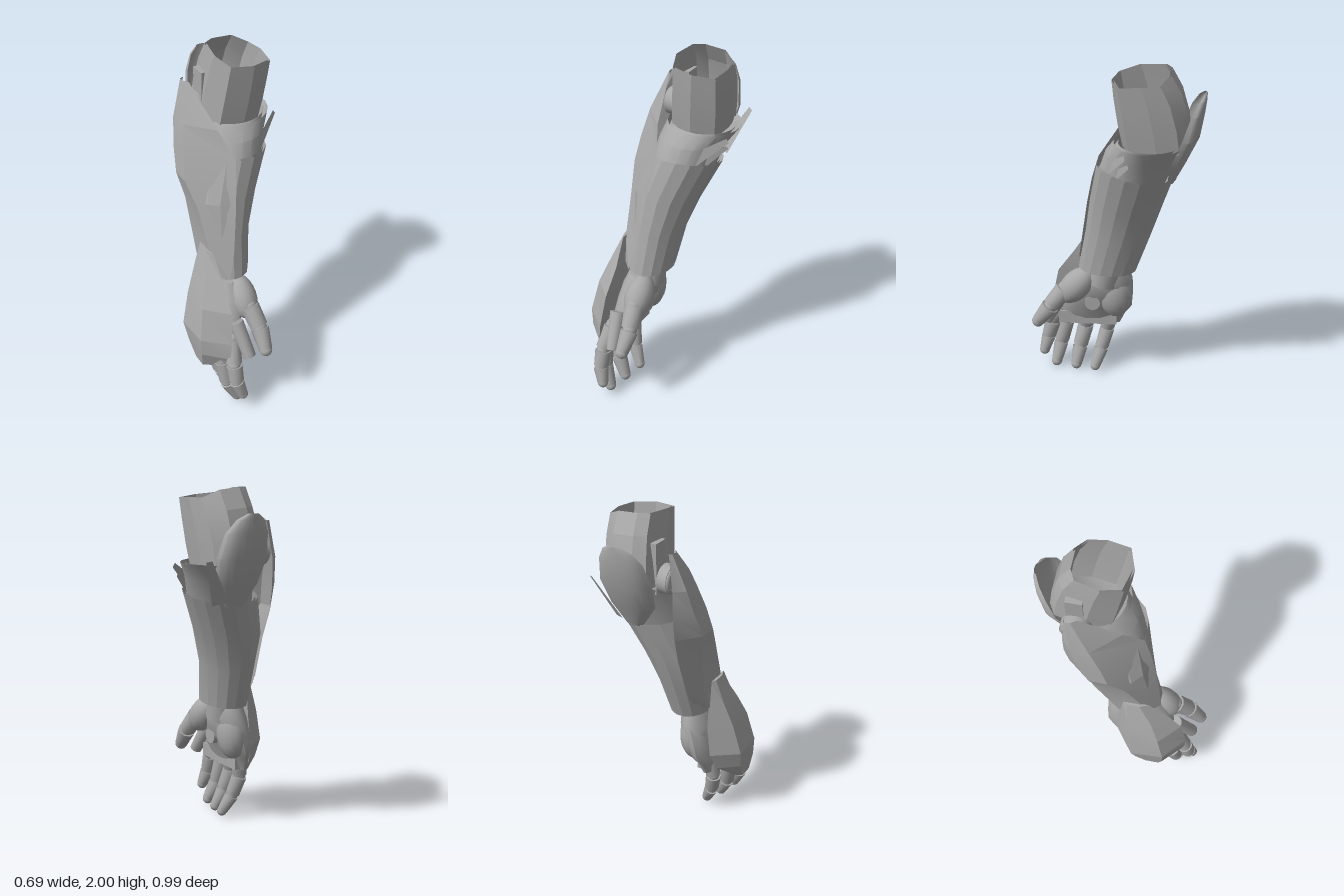
import * as THREE from 'three';
import { toCreasedNormals } from 'three/addons/utils/BufferGeometryUtils.js';

const V = (p) => new THREE.Vector3(...p);

// Surface through rows of [x, y, z] points, listed from top to bottom
function loft(rows, { closed = false, caps = false, crease = 0.45 } = {}) {
  const n = rows[0].length, pos = rows.flat(2), idx = [];
  for (let i = 0; i < rows.length - 1; i++) {
    for (let j = 0; j < (closed ? n : n - 1); j++) {
      const k = (j + 1) % n, a = i * n + j, b = i * n + k, c = a + n, d = b + n;
      idx.push(a, b, c, b, d, c);
    }
  }
  if (caps) {
    const last = (rows.length - 1) * n;
    for (let j = 1; j < n - 1; j++) idx.push(0, j + 1, j, last, last + j, last + j + 1);
  }
  const g = new THREE.BufferGeometry();
  g.setAttribute('position', new THREE.Float32BufferAttribute(pos, 3));
  g.setIndex(idx);
  return toCreasedNormals(g, crease);
}

// Elliptical ring, tilted so that y changes with z
function ring(y, cx, cz, rx, rz, n = 12, tilt = 0) {
  return Array.from({ length: n }, (_, i) => {
    const a = ((i + 0.5) / n) * Math.PI * 2;
    const dz = Math.sin(a) * rz;
    return [cx + Math.cos(a) * rx, y + tilt * dz, cz + dz];
  });
}

// Adds an inner wall to rows of closed rings
function walled(rows, s) {
  const inner = rows.map((r) => {
    const c = [0, 1, 2].map((k) => r.reduce((t, p) => t + p[k], 0) / r.length);
    return r.map((p) => [c[0] + (p[0] - c[0]) * s, p[1], c[2] + (p[2] - c[2]) * s]);
  });
  return [...rows, ...inner.reverse()];
}

export function createModel() {
  const root = new THREE.Group();
  root.name = 'armouredArm';
  const metal = new THREE.MeshStandardMaterial({ color: 0xa8a8a8, side: THREE.DoubleSide });
  metal.name = 'grey metal';

  const add = (name, geo, parent = root) => {
    const m = new THREE.Mesh(geo, metal);
    m.name = name;
    parent.add(m);
    return m;
  };
  // Tapered round piece from a to b
  const limb = (name, a, b, r1, r2, parent = root, sides = 8) => {
    const p = V(a), d = V(b).sub(p);
    const g = toCreasedNormals(new THREE.CylinderGeometry(r2, r1, d.length(), sides), 0.7);
    const m = add(name, g, parent);
    m.position.copy(p).addScaledVector(d, 0.5);
    m.quaternion.setFromUnitVectors(new THREE.Vector3(0, 1, 0), d.normalize());
    return m;
  };
  const ball = (name, c, r, parent = root) => {
    const m = add(name, new THREE.SphereGeometry(1, 16, 12), parent);
    m.position.set(...c);
    m.scale.set(...r);
    return m;
  };

  // Open upper arm sleeve, faceted and widening toward the elbow
  const rim = [[-0.005, 1.99, -0.14], [0.02, 2, -0.28], [0.08, 2, -0.31], [0.2, 1.99, -0.31], [0.28, 1.95, -0.26],
    [0.295, 1.95, -0.16], [0.28, 1.94, -0.04], [0.16, 1.95, 0], [0.035, 1.96, -0.03]];
  const sleeveRow = (drop, x0, x1, z0, z1) => rim.map(([x, y, z]) => [
    x0 + (x / 0.295) * (x1 - x0), y - drop, z0 + ((z + 0.31) / 0.31) * (z1 - z0)]);
  add('upperArmSleeve', loft(walled([rim, sleeveRow(0.1, -0.01, 0.29, -0.365, -0.01),
    sleeveRow(0.24, -0.025, 0.28, -0.405, -0.03), sleeveRow(0.37, -0.035, 0.265, -0.42, -0.055)], 0.93),
  { closed: true, crease: 0.2 }));

  // Elbow cuff and its flared blades
  add('elbowCuff', loft(walled([ring(1.61, 0.14, -0.205, 0.205, 0.195, 20),
    ring(1.52, 0.1, -0.15, 0.185, 0.19, 20, 0.1), ring(1.38, 0.065, -0.1, 0.175, 0.18, 20, 0.2)], 0.88), { closed: true }));
  const blade = (name, a, b, w) => {
    const dir = V(b).sub(V(a));
    const side = dir.clone().cross(new THREE.Vector3(a[0] - 0.1, 0, a[2] + 0.17)).setLength(w);
    const off = (p, s) => V(p).addScaledVector(side, s).toArray();
    add(name, loft([[off(b, 0.35), off(b, -0.35)], [off(a, 1), off(a, -1)]]));
  };
  blade('frontBlade', [0.15, 1.45, 0.04], [0.34, 1.59, -0.08], 0.04);
  blade('lowerBlade', [0.19, 1.42, 0], [0.33, 1.54, -0.1], 0.03);
  blade('rearBlade', [0.2, 1.4, -0.32], [0.32, 1.64, -0.4], 0.045);

  // Elbow guard: an oval shell behind the joint
  add('elbowGuard', loft([[1.88, -0.495, 0.03, -0.48], [1.85, -0.495, 0.08, -0.455], [1.78, -0.487, 0.125, -0.415],
    [1.65, -0.465, 0.15, -0.37], [1.5, -0.395, 0.13, -0.31], [1.38, -0.335, 0.05, -0.3]].map(([y, z, w, edge]) =>
    Array.from({ length: 13 }, (_, i) => {
      const a = (i / 12 - 0.5) * Math.PI;
      return [0.11 + w * Math.sin(a), y, edge + (z - edge) * Math.max(Math.cos(a), 0) ** 0.75];
    })), { crease: 0.6 }));

  // Elbow hinge on the outer side
  limb('hingeDisc', [-0.1, 1.66, -0.26], [-0.045, 1.66, -0.26], 0.08, 0.08, root, 20);
  const hub = add('hingeRing', new THREE.TorusGeometry(0.062, 0.013, 6, 20));
  hub.position.set(-0.1, 1.66, -0.26);
  hub.rotation.y = Math.PI / 2;
  const bar = add('hingeBar', new THREE.BoxGeometry(0.06, 0.28, 0.09));
  bar.position.set(-0.002, 1.72, -0.27);

  // Forearm sleeve
  add('forearmSleeve', loft(walled([ring(1.425, 0.075, -0.12, 0.205, 0.21, 16, 0.18),
    ring(1.2, -0.005, -0.065, 0.185, 0.2, 16, 0.15), ring(1, -0.035, -0.02, 0.145, 0.185, 16, 0.1),
    ring(0.76, -0.052, 0.043, 0.125, 0.168, 16, 0.05)], 0.93), { closed: true, crease: 0.2 }));

  // Long outer forearm plate; each row runs rear to front as x, z pairs
  const plate = (rows) => rows.map(([y, ...p]) => p.map(([x, z]) => [x, y, z]).reverse());
  add('outerForearmPlate', loft(plate([
    [1.82, [-0.1, -0.305], [-0.12, -0.3], [-0.12, -0.27], [-0.1, -0.24]],
    [1.62, [-0.13, -0.32], [-0.185, -0.27], [-0.185, -0.17], [-0.05, -0.02]],
    [1.47, [-0.13, -0.32], [-0.21, -0.23], [-0.21, -0.11], [0, 0.085]],
    [1.33, [-0.13, -0.3], [-0.23, -0.17], [-0.23, -0.07], [-0.02, 0.125]],
    [1.18, [-0.12, -0.25], [-0.2, -0.13], [-0.2, 0.02], [-0.04, 0.155]],
    [0.95, [-0.13, -0.17], [-0.185, -0.08], [-0.185, 0.11], [-0.07, 0.19]],
    [0.79, [-0.13, -0.08], [-0.185, -0.02], [-0.185, 0.13], [-0.11, 0.215]]]), { crease: 0.2 }));

  // Wrist and palm
  limb('wrist', [-0.07, 0.66, 0.07], [-0.055, 0.86, 0.03], 0.1, 0.095, root, 16);
  add('palm', loft([ring(0.74, -0.08, 0.06, 0.08, 0.14, 16), ring(0.67, -0.085, 0.075, 0.1, 0.18, 16),
    ring(0.57, -0.11, 0.095, 0.095, 0.2, 16), ring(0.47, -0.135, 0.115, 0.075, 0.215, 16),
    ring(0.4, -0.155, 0.14, 0.06, 0.2, 16, -0.05), ring(0.34, -0.165, 0.155, 0.045, 0.18, 16, 0.05)],
  { closed: true, caps: true, crease: 0.7 }));
  ball('palmHeel', [-0.09, 0.58, 0], [0.09, 0.165, 0.105]);
  limb('palmDisc', [-0.07, 0.53, 0.13], [-0.018, 0.53, 0.13], 0.05, 0.045, root, 24);
  const knuckles = add('knuckleBar', new THREE.BoxGeometry(0.06, 0.08, 0.35));
  knuckles.position.set(-0.135, 0.38, 0.17);

  // Shield over the back of the hand
  add('handShield', loft(plate([
    [0.95, [-0.18, 0], [-0.2, 0.03], [-0.2, 0.1], [-0.18, 0.15]],
    [0.8, [-0.18, -0.015], [-0.25, 0.04], [-0.25, 0.18], [-0.17, 0.25]],
    [0.66, [-0.18, -0.03], [-0.3, 0.06], [-0.3, 0.23], [-0.18, 0.35]],
    [0.47, [-0.2, -0.03], [-0.345, 0.08], [-0.335, 0.27], [-0.2, 0.39]],
    [0.36, [-0.22, 0.02], [-0.33, 0.11], [-0.33, 0.27], [-0.21, 0.39]],
    [0.255, [-0.28, 0.15], [-0.315, 0.17], [-0.315, 0.25], [-0.27, 0.28]]]),
  { closed: true, caps: true, crease: 0.2 }));

  // Thumb and fingers: tapered segments with ball joints and a round tip
  const digit = (name, pts, r) => {
    const g = new THREE.Group();
    g.name = name;
    root.add(g);
    for (let i = 0; i < pts.length - 1; i++) {
      const a = V(pts[i]), b = V(pts[i + 1]), s = r * (1 - 0.06 * i);
      const end = i === pts.length - 2;
      ball('joint', pts[i], [s * 0.8, s * 0.8, s * 0.8], g);
      limb('segment', a.clone().lerp(b, 0.06).toArray(), a.clone().lerp(b, end ? 1 : 0.94).toArray(),
        s, s * (end ? 0.72 : 0.92), g, 10);
      if (end) ball('tip', pts[i + 1], [s * 0.71, s * 0.71, s * 0.71], g);
    }
  };
  ball('thumbBase', [-0.035, 0.64, 0.225], [0.08, 0.135, 0.085]).rotation.x = -0.72;
  digit('thumb', [[-0.03, 0.62, 0.29], [-0.01, 0.51, 0.375], [-0.015, 0.4, 0.455]], 0.056);
  limb('indexRoot', [-0.13, 0.55, 0.31], [-0.1, 0.36, 0.42], 0.045, 0.037, root, 10);
  digit('indexFinger', [[-0.16, 0.45, 0.32], [-0.185, 0.31, 0.39], [-0.185, 0.2, 0.42], [-0.16, 0.11, 0.445]], 0.05);
  digit('middleFinger', [[-0.18, 0.43, 0.28], [-0.22, 0.3, 0.31], [-0.205, 0.15, 0.345], [-0.155, 0.035, 0.37]], 0.052);
  digit('ringFinger', [[-0.17, 0.42, 0.17], [-0.21, 0.28, 0.19], [-0.18, 0.14, 0.225], [-0.13, 0.035, 0.245]], 0.052);
  digit('littleFinger', [[-0.16, 0.4, 0.04], [-0.18, 0.28, 0.055], [-0.15, 0.15, 0.09], [-0.1, 0.045, 0.125]], 0.048);

  return root;
}
